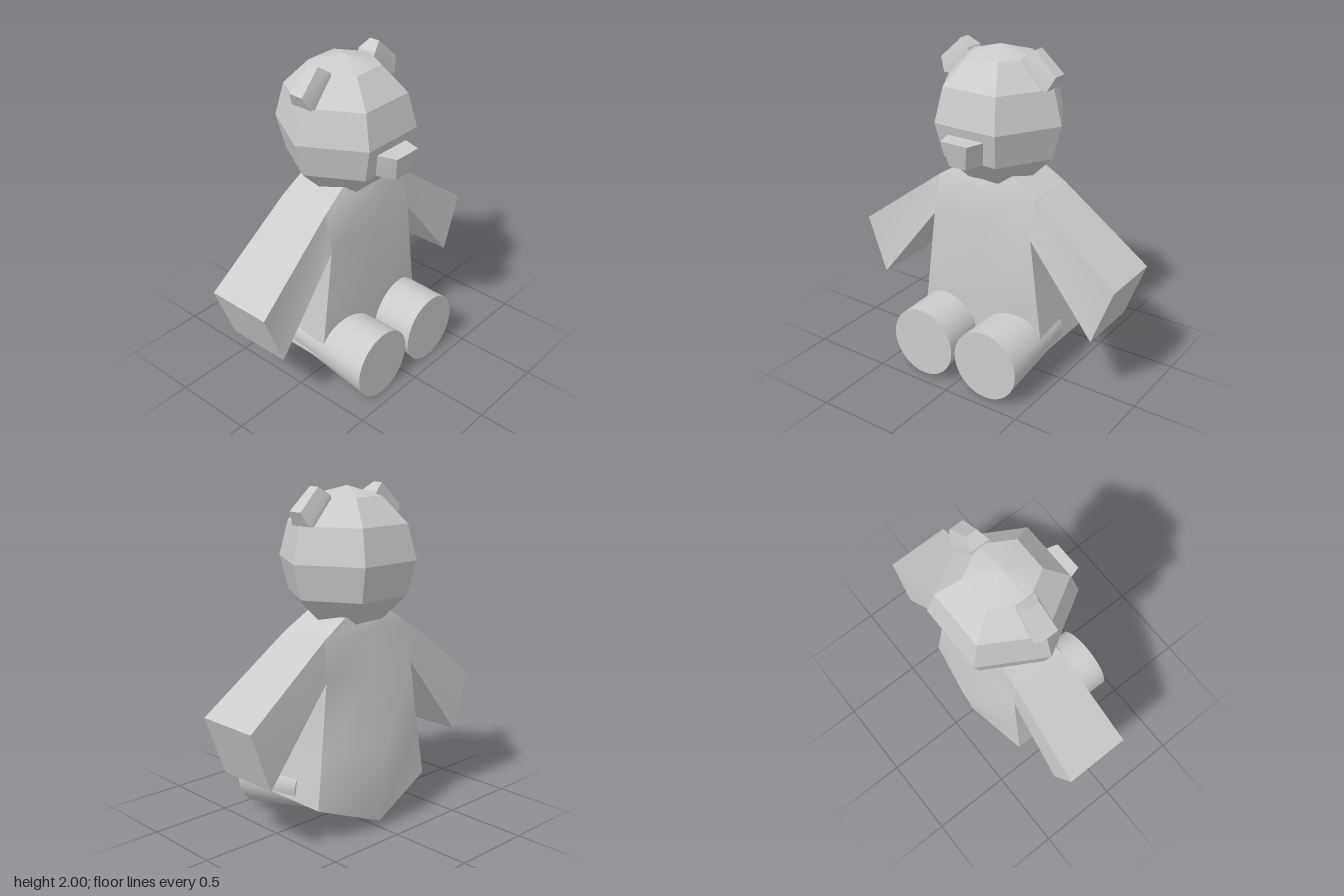
import * as THREE from 'three';
import { toCreasedNormals } from 'three/addons/utils/BufferGeometryUtils.js';

const material = new THREE.MeshStandardMaterial({ color: 0xcccccc });

// Closed solid through equal-sized rings of [x, y, z], capped by fans at both ends
function loft(rings, crease) {
  const n = rings[0].length;
  const tris = [];
  for (let r = 0; r < rings.length - 1; r++) {
    for (let i = 0; i < n; i++) {
      const j = (i + 1) % n;
      const [a, b, c, d] = [rings[r][i], rings[r][j], rings[r + 1][j], rings[r + 1][i]];
      tris.push([a, b, c], [a, c, d]);
    }
  }
  const first = rings[0], last = rings[rings.length - 1];
  for (let i = 1; i < n - 1; i++) {
    tris.push([first[0], first[i + 1], first[i]], [last[0], last[i], last[i + 1]]);
  }
  // Turn the faces outward whichever way the rings run
  const v = (p) => new THREE.Vector3(...p);
  const volume = tris.reduce((s, [a, b, c]) => s + v(a).dot(v(b).cross(v(c))), 0);
  if (volume < 0) tris.forEach((t) => t.reverse());
  const geo = new THREE.BufferGeometry();
  geo.setAttribute('position', new THREE.Float32BufferAttribute(tris.flat(2), 3));
  return toCreasedNormals(geo, crease);
}

export function createModel() {
  const model = new THREE.Group();
  const add = (name, geometry) => {
    const mesh = new THREE.Mesh(geometry, material);
    mesh.name = name;
    model.add(mesh);
    return mesh;
  };

  // Head: six-sided faceted ball
  add('head', toCreasedNormals(new THREE.SphereGeometry(0.41, 6, 6), 0.45))
    .position.set(0, 1.585, -0.07);

  // Muzzle: tapered block, wider at the top and at the back
  const muzzleRing = (top, bottom, zTop, zBottom) => [
    [-top, 1.53, zTop], [top, 1.53, zTop], [bottom, 1.38, zBottom], [-bottom, 1.38, zBottom],
  ];
  add('muzzle', loft([
    muzzleRing(0.125, 0.105, 0.2, 0.2),
    muzzleRing(0.12, 0.095, 0.28, 0.23),
    muzzleRing(0.09, 0.055, 0.385, 0.35),
  ], 0.3));

  // Torso levels: half width, edge y, edge front z, edge back z, middle y, middle front z, middle back z
  const levels = [
    [0.175, 1.28, 0.07, -0.24, 1.25, 0.11, -0.25],
    [0.34, 1.18, 0.085, -0.25, 1.18, 0.135, -0.27],
    [0.345, 0.94, 0.13, -0.268, 0.94, 0.135, -0.27],
    [0.4, 0.51, 0.13, -0.285, 0.51, 0.18, -0.405],
    [0.44, 0.215, 0.13, -0.3, 0.04, 0.135, -0.355],
  ];
  add('torso', loft(levels.map(([w, y, f, b, my, mf, mb]) => [
    [0, my, mf], [-w, y, f], [-w, y, b], [0, my, mb], [w, y, b], [w, y, f],
  ]), 0.7));

  for (const s of [1, -1]) {
    const side = s > 0 ? 'left' : 'right';

    // Ear: narrow outer face flaring to a wider base sunk in the head
    const earRing = (x1, y1, x2, y2, z1, z2) => [
      [s * x1, y1, -0.07 + z1], [s * x2, y2, -0.07 + z2],
      [s * x2, y2, -0.07 - z2], [s * x1, y1, -0.07 - z1],
    ];
    add(side + 'Ear', loft([
      earRing(0.16, 1.9, 0.31, 1.79, 0.06, 0.07),
      earRing(0.185, 1.955, 0.35, 1.79, 0.06, 0.07),
      earRing(0.25, 2.0, 0.39, 1.87, 0.033, 0.045),
    ], 0.3));

    // Arm: flat wedge growing from shoulder to hand
    const armRing = (x1, y1, f1, b1, x2, y2, f2, b2) => [
      [s * x1, y1, f1], [s * x2, y2, f2], [s * x2, y2, b2], [s * x1, y1, b1],
    ];
    add(side + 'Arm', loft([
      armRing(0.34, 1.18, 0.085, -0.25, 0.345, 0.94, 0.13, -0.268),
      armRing(0.89, 0.77, 0.13, -0.275, 0.76, 0.42, 0.13, -0.275),
    ], 0.4));

    // Leg: round foot tapering back into the torso with a level top
    const legRing = (x, y, z, rx, ry) => Array.from({ length: 40 }, (_, i) => {
      const a = (i / 40) * Math.PI * 2;
      return [s * (x + rx * Math.cos(a)), y + ry * Math.sin(a), z];
    });
    add(side + 'Leg', loft([
      legRing(0.228, 0.217, 0.425, 0.215, 0.217),
      legRing(0.24, 0.28, -0.1, 0.203, 0.15),
    ], 0.6));
  }
  return model;
}
